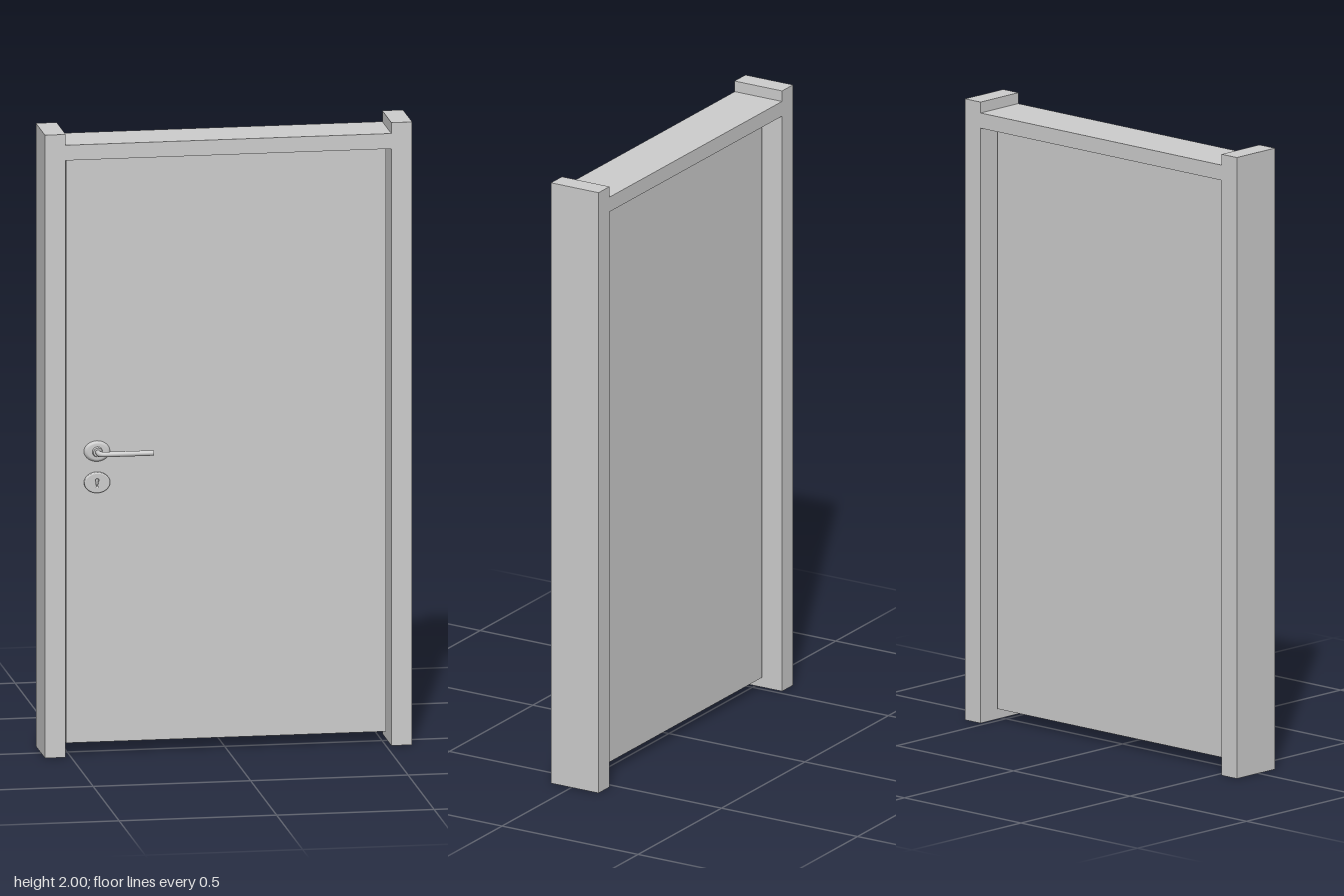
import * as THREE from 'three';

const material = new THREE.MeshStandardMaterial({ color: 0xcccccc });

function add(parent, name, geometry, x = 0, y = 0, z = 0) {
  const mesh = new THREE.Mesh(geometry, material);
  mesh.name = name;
  mesh.position.set(x, y, z);
  parent.add(mesh);
  return mesh;
}

// Box given by its limits on each axis
function box(parent, name, [x0, x1], [y0, y1], [z0, z1]) {
  return add(parent, name, new THREE.BoxGeometry(x1 - x0, y1 - y0, z1 - z0),
    (x0 + x1) / 2, (y0 + y1) / 2, (z0 + z1) / 2);
}

export function createModel() {
  const model = new THREE.Group();
  model.name = 'door';
  const front = 0.031; // front face of the door leaf

  // Frame: two posts and a lower lintel between them
  const frame = new THREE.Group();
  frame.name = 'frame';
  model.add(frame);
  box(frame, 'rightPost', [-0.583, -0.517], [0, 2], [-0.099, 0.076]);
  box(frame, 'leftPost', [0.517, 0.583], [0, 2], [-0.099, 0.076]);
  box(frame, 'lintel', [-0.517, 0.517], [1.916, 1.965], [-0.099, 0.075]);

  // Leaf, with a narrow gap to the frame
  box(model, 'leaf', [-0.508, 0.508], [0.036, 1.908], [-0.031, front]);

  const hardware = new THREE.Group();
  hardware.name = 'hardware';
  model.add(hardware);
  const hx = -0.411, handleY = 0.97, lockY = 0.87;

  // Oval plate behind the lever
  const plateProfile = [[0, 0.013], [0.03, 0.013], [0.037, 0.01], [0.041, 0.004], [0.041, 0]]
    .map(([r, y]) => new THREE.Vector2(r, y)).reverse();
  const plate = new THREE.LatheGeometry(plateProfile, 40).rotateX(Math.PI / 2).scale(1, 0.8, 1);
  add(hardware, 'handlePlate', plate, hx, handleY, front);

  // Oval lock plate with a keyhole
  const lock = new THREE.Shape().absellipse(0, 0, 0.037, 0.029, 0, Math.PI * 2);
  const keyhole = new THREE.Path();
  keyhole.moveTo(-0.006, -0.016);
  keyhole.lineTo(0.006, -0.016);
  keyhole.lineTo(0.008, 0.002);
  keyhole.absarc(0, 0.007, 0.0095, -0.55, Math.PI + 0.55, false);
  keyhole.closePath();
  lock.holes.push(keyhole);
  add(hardware, 'lockPlate', new THREE.ExtrudeGeometry(lock, {
    depth: 0.009, bevelThickness: 0.004, bevelSize: 0.004, bevelSegments: 3, curveSegments: 32,
  }), hx, lockY, front);

  // Lever: a neck leaving the plate that bends towards the middle of the leaf
  const bend = new THREE.CurvePath();
  const p = (x, z) => new THREE.Vector3(x, handleY, z);
  bend.add(new THREE.LineCurve3(p(hx, front), p(hx, 0.07)));
  bend.add(new THREE.QuadraticBezierCurve3(p(hx, 0.07), p(hx, 0.086), p(hx + 0.025, 0.0865)));
  bend.add(new THREE.LineCurve3(p(hx + 0.025, 0.0865), p(-0.24, 0.0885)));
  add(hardware, 'lever', new THREE.TubeGeometry(bend, 60, 0.0085, 16));
  const cap = add(hardware, 'leverEnd', new THREE.CircleGeometry(0.0085, 16), -0.24, handleY, 0.0885);
  cap.rotation.y = Math.PI / 2;

  // Collar around the neck
  add(hardware, 'leverCollar', new THREE.CylinderGeometry(0.014, 0.017, 0.012, 24).rotateX(Math.PI / 2),
    hx, handleY, front + 0.017);

  return model;
}
